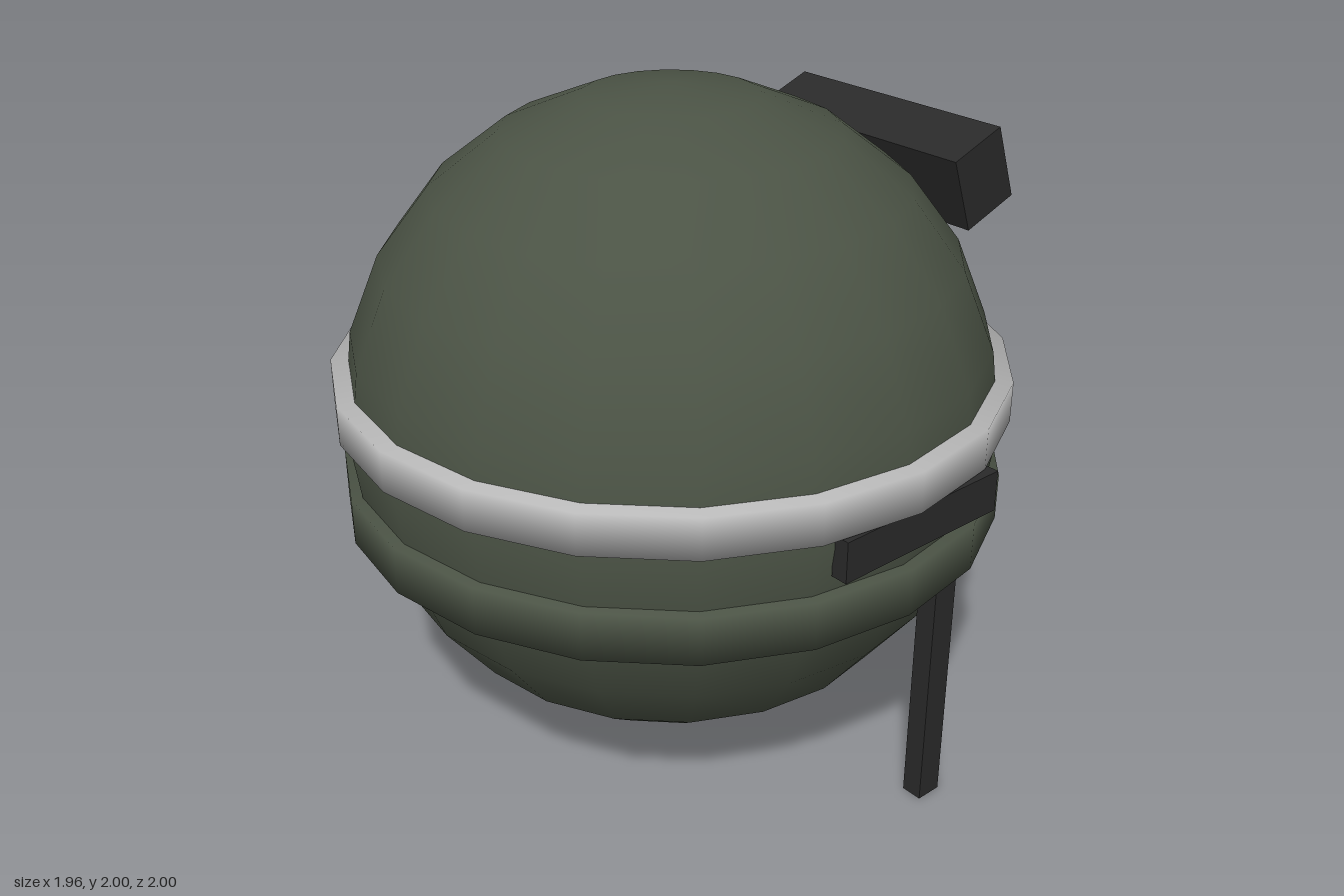
import * as THREE from 'three';
import { mergeVertices } from 'three/addons/utils/BufferGeometryUtils.js';

const CENTRE_Z = 0.02;

function material(name, color) {
  const m = new THREE.MeshStandardMaterial({ color });
  m.name = name;
  return m;
}

// Solid band whose rim shades softly from the wall into the caps
function softBand(radius, height) {
  let geo = new THREE.CylinderGeometry(radius, radius, height, 20);
  geo.deleteAttribute('normal');
  geo.deleteAttribute('uv');
  geo = mergeVertices(geo);
  geo.computeVertexNormals();
  const p = geo.attributes.position;
  const n = new THREE.Vector3();
  for (let i = 0; i < p.count; i++) {
    n.set(p.getX(i) / radius, Math.sign(p.getY(i)), p.getZ(i) / radius).normalize();
    geo.attributes.normal.setXYZ(i, n.x, n.y, n.z);
  }
  return geo;
}

export function createModel() {
  const group = new THREE.Group();
  const green = material('olive green', 0x4b5345);
  const pale = material('pale grey', 0xb8b8b8);
  const dark = material('charcoal', 0x2a2a2a);

  function add(name, geo, mat, x, y, z) {
    const mesh = new THREE.Mesh(geo, mat);
    mesh.name = name;
    mesh.position.set(x, y, z);
    group.add(mesh);
    return mesh;
  }
  const box = (name, w, h, d, x, y, z) =>
    add(name, new THREE.BoxGeometry(w, h, d), dark, x, y, z);

  // Round body with two bands
  add('body', new THREE.SphereGeometry(0.95, 20, 12), green, 0, 1.045, CENTRE_Z);
  add('upperBand', softBand(0.98, 0.12), pale, 0, 1.145, CENTRE_Z);
  add('lowerBand', softBand(0.965, 0.14), green, 0, 0.84, CENTRE_Z);

  // Side plates and legs, mirrored
  for (const [side, s] of [['left', 1], ['right', -1]]) {
    box(side + 'SidePlate', 0.05, 0.12, 0.57, s * 0.93, 1.02, -0.025);
    box(side + 'Leg', 0.063, 0.8, 0.08, s * 0.853, 0.4, -0.222);
  }

  // Tilted housing and small block at the back
  box('rearHousing', 0.81, 0.24, 0.2, 0, 1.637, -0.838).rotation.x = 0.349;
  box('rearBlock', 0.24, 0.204, 0.18, 0, 1.27, -0.91);

  return group;
}
